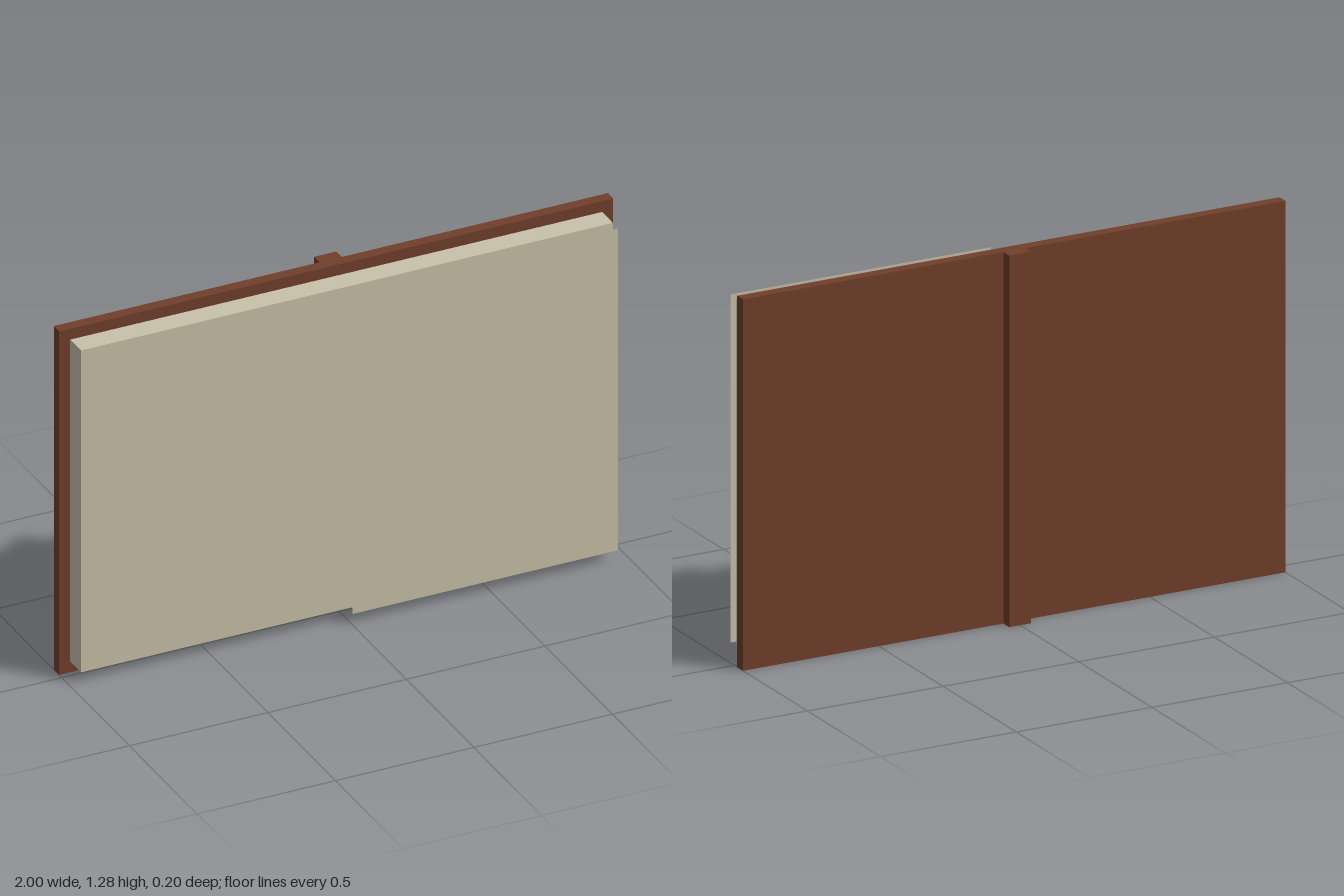
import * as THREE from 'three';

export function createModel() {
  const model = new THREE.Group();
  model.name = 'openBook';

  const leather = new THREE.MeshStandardMaterial({ color: 0x703f2b });
  leather.name = 'brown leather';
  const paper = new THREE.MeshStandardMaterial({ color: 0xc9c1a9, side: THREE.DoubleSide });
  paper.name = 'aged paper';

  const midY = 0.64;
  const add = (name, geometry, material, x, z) => {
    const mesh = new THREE.Mesh(geometry, material);
    mesh.name = name;
    mesh.position.set(x, midY, z);
    model.add(mesh);
  };

  // Cover board with the spine strip behind it
  add('cover', new THREE.BoxGeometry(2, 1.28, 0.04), leather, 0, -0.04);
  add('spine', new THREE.BoxGeometry(0.08, 1.28, 0.04), leather, 0, -0.08);

  // Block of pages
  add('pageBlock', new THREE.BoxGeometry(1.92, 1.2, 0.08), paper, 0, 0.02);

  // Single loose leaf lifted off one half of the block
  add('loosePage', new THREE.PlaneGeometry(0.96, 1.2), paper, 0.48, 0.1);

  return model;
}
